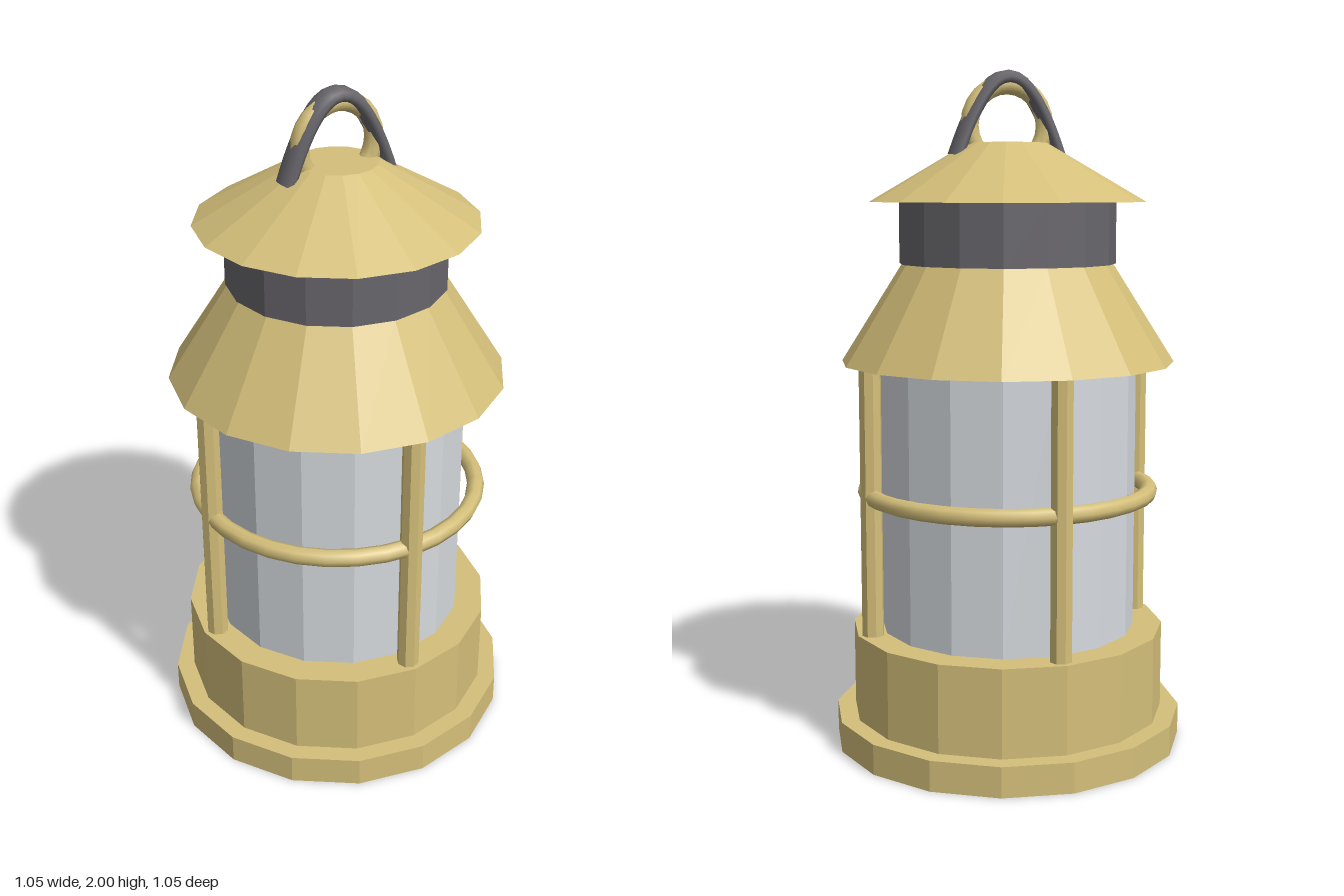
import * as THREE from 'three';

const SIDES = 16;

export function createModel() {
  const group = new THREE.Group();
  group.name = 'lantern';

  const brass = new THREE.MeshStandardMaterial({ color: 0xd4bf7a, flatShading: true });
  const smoothBrass = new THREE.MeshStandardMaterial({ color: 0xd4bf7a });
  const iron = new THREE.MeshStandardMaterial({ color: 0x68666b, flatShading: true });
  const smoothIron = new THREE.MeshStandardMaterial({ color: 0x68666b });
  const glass = new THREE.MeshStandardMaterial({ color: 0xd6dade, flatShading: true });

  const add = (name, geometry, material) => {
    const mesh = new THREE.Mesh(geometry, material);
    mesh.name = name;
    group.add(mesh);
    return mesh;
  };

  // Faceted stack: name, bottom radius, top radius, bottom y, top y, material
  const stack = [
    ['basePlate', 0.525, 0.525, 0, 0.09, brass],
    ['baseDrum', 0.47, 0.47, 0.09, 0.35, brass],
    ['glassCylinder', 0.383, 0.383, 0.35, 1.15, glass],
    ['hood', 0.495, 0.312, 1.15, 1.44, brass],
    ['collar', 0.32, 0.32, 1.44, 1.62, iron],
    ['roof', 0.408, 0.117, 1.62, 1.79, brass],
  ];
  for (const [name, rBottom, rTop, y0, y1, material] of stack) {
    const part = add(name, new THREE.CylinderGeometry(rTop, rBottom, y1 - y0, SIDES), material);
    part.position.y = (y0 + y1) / 2;
  }

  // Four guard bars around the glass
  for (let i = 0; i < 4; i++) {
    const angle = (i * Math.PI) / 2;
    const bar = add('guardBar', new THREE.CylinderGeometry(0.033, 0.033, 0.82, 8), brass);
    bar.position.set(Math.sin(angle) * 0.425, 0.75, Math.cos(angle) * 0.425);
  }

  // Guard ring joining the bars
  const ring = add('guardRing', new THREE.TorusGeometry(0.425, 0.026, 8, 32), smoothBrass);
  ring.rotation.x = Math.PI / 2;
  ring.position.y = 0.765;

  // Round hanging loop sunk into the roof
  const loop = add('hangingLoop', new THREE.TorusGeometry(0.117, 0.028, 8, 24), smoothBrass);
  loop.position.y = 1.84;

  // Arched handle, flattened so it is wider across than thick
  const arch = new THREE.QuadraticBezierCurve3(
    new THREE.Vector3(-0.16, 1.75, 0),
    new THREE.Vector3(0, 2.206, 0),
    new THREE.Vector3(0.16, 1.75, 0),
  );
  const handle = add('handle', new THREE.TubeGeometry(arch, 24, 0.022, 10), smoothIron);
  handle.scale.z = 1.85;

  return group;
}
